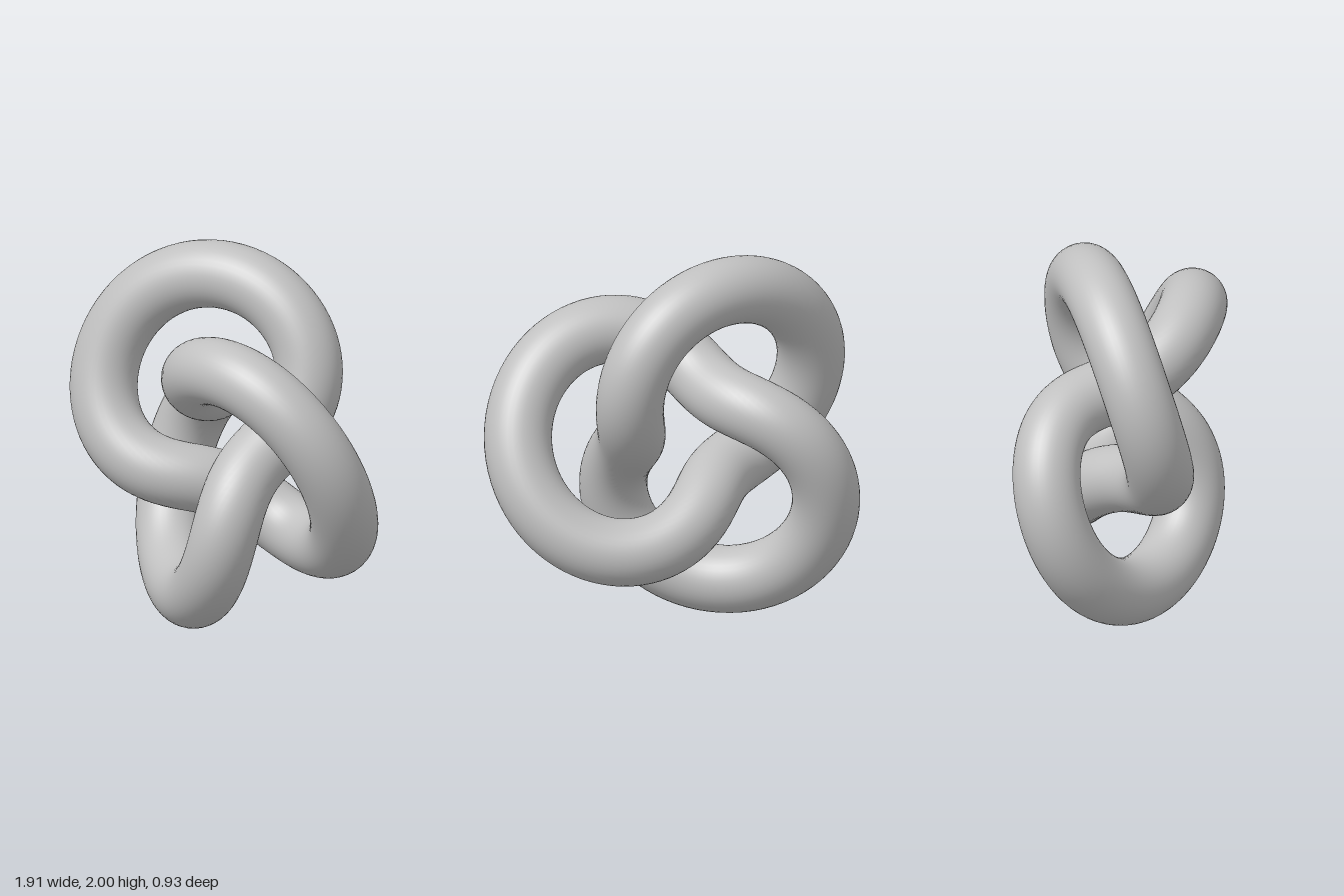
import * as THREE from 'three';

export function createModel() {
  const group = new THREE.Group();
  group.name = 'trefoilKnot';

  const grey = new THREE.MeshStandardMaterial({ color: 0xc0c0c0 });
  grey.name = 'grey';

  // One continuous round tube wound as a (2, 3) torus knot
  const radius = 0.583;
  const tube = 0.175;
  const knot = new THREE.Mesh(new THREE.TorusKnotGeometry(radius, tube, 256, 40, 2, 3), grey);
  knot.name = 'knotTube';

  // Centre the bounds in x and z and stand the knot on the ground
  knot.geometry.computeBoundingBox();
  const { min, max } = knot.geometry.boundingBox;
  knot.position.set(-(min.x + max.x) / 2, -min.y, -(min.z + max.z) / 2);
  group.add(knot);

  return group;
}
